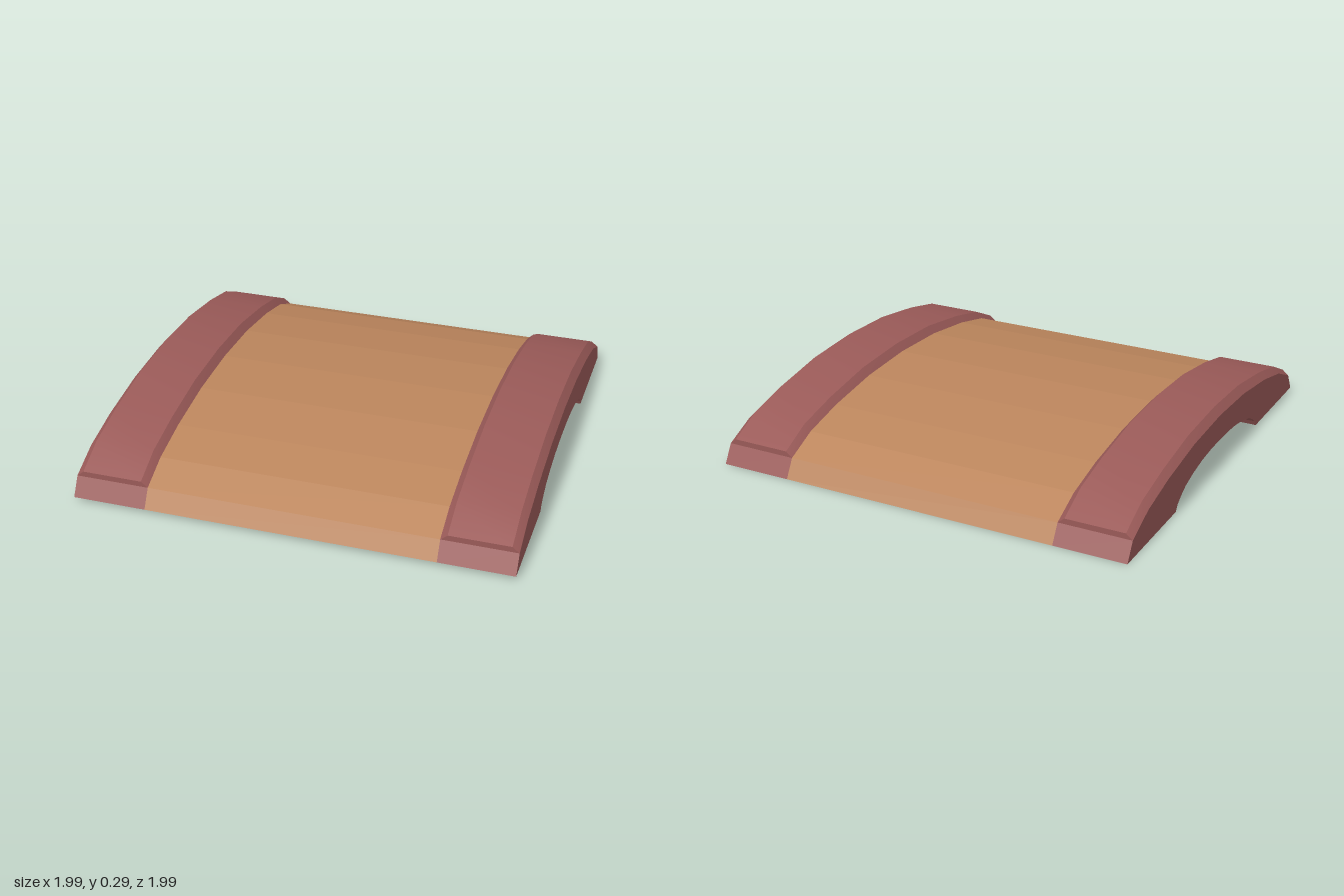
import * as THREE from 'three';
import { toCreasedNormals } from 'three/addons/utils/BufferGeometryUtils.js';

const HALF = 0.97;   // half length and half width
const DECK = 0.642;  // half width of the middle deck

// half profiles as [z, y], from the crown outwards
const deckTop = [[0, 0.246], [0.295, 0.233], [0.57, 0.195], [0.775, 0.148], [0.923, 0.082]];
const rimTop = [[0, 0.28], [0.295, 0.267], [0.57, 0.225], [0.775, 0.178], [0.923, 0.107]];
const archUnder = [[0, 0.125], [0.1, 0.123], [0.2, 0.115], [0.3, 0.098], [0.38, 0.076], [0.43, 0.05], [0.465, 0.025], [0.48, 0]];

// full profile from back to front
const mirrored = (half) => [...half.slice(1).reverse().map(([z, y]) => [-z, y]), ...half];

// arched slab between two x positions
function archSlab(x0, x1) {
  const outline = [[-HALF, 0], ...mirrored(deckTop), [HALF, 0], ...mirrored(archUnder).reverse()];
  const shape = new THREE.Shape(outline.map(([z, y]) => new THREE.Vector2(z, y)));
  const geo = new THREE.ExtrudeGeometry(shape, { depth: x1 - x0, bevelEnabled: false });
  return geo.rotateY(-Math.PI / 2).translate(x1, 0, 0);
}

// raised kerb with chamfered edges, lofted along the arch
function kerb() {
  const low = mirrored(deckTop), high = mirrored(rimTop);
  const sections = low.map(([z, y], i) => [
    [DECK, y, z], [DECK + 0.03, high[i][1], z], [HALF - 0.03, high[i][1], z], [HALF, y, z],
  ]);
  const pos = [];
  const quad = (a, b, c, d) => pos.push(...a, ...b, ...c, ...a, ...c, ...d);
  for (let i = 0; i < sections.length - 1; i++) {
    const a = sections[i], b = sections[i + 1];
    for (let j = 0; j < 3; j++) quad(a[j], b[j], b[j + 1], a[j + 1]);
  }
  const back = sections[0], front = sections[sections.length - 1];
  quad(back[0], back[1], back[2], back[3]);
  quad(front[3], front[2], front[1], front[0]);
  const geo = new THREE.BufferGeometry();
  geo.setAttribute('position', new THREE.Float32BufferAttribute(pos, 3));
  return toCreasedNormals(geo, 0.5);
}

export function createModel() {
  const tan = new THREE.MeshStandardMaterial({ color: 0xbb855c });
  tan.name = 'tan deck';
  const red = new THREE.MeshStandardMaterial({ color: 0x9a5a58 });
  red.name = 'dull red';

  const model = new THREE.Group();
  model.name = 'archBridge';
  const add = (parent, name, geo, mat) => {
    const mesh = new THREE.Mesh(geo, mat);
    mesh.name = name;
    parent.add(mesh);
  };

  // middle deck
  add(model, 'deck', archSlab(-DECK, DECK), tan);

  // two identical sides, the second turned half round
  const sideGeo = archSlab(DECK, HALF), kerbGeo = kerb();
  for (const [name, turn] of [['left', 0], ['right', Math.PI]]) {
    const side = new THREE.Group();
    side.name = name + 'Side';
    side.rotation.y = turn;
    add(side, name + 'Arch', sideGeo, red);
    add(side, name + 'Kerb', kerbGeo, red);
    model.add(side);
  }

  // slight turn and tilt of the whole piece
  model.rotation.set(-0.01, -0.0275, 0);
  model.position.y = 0.01;
  const root = new THREE.Group();
  root.name = 'bridge';
  root.add(model);
  return root;
}
